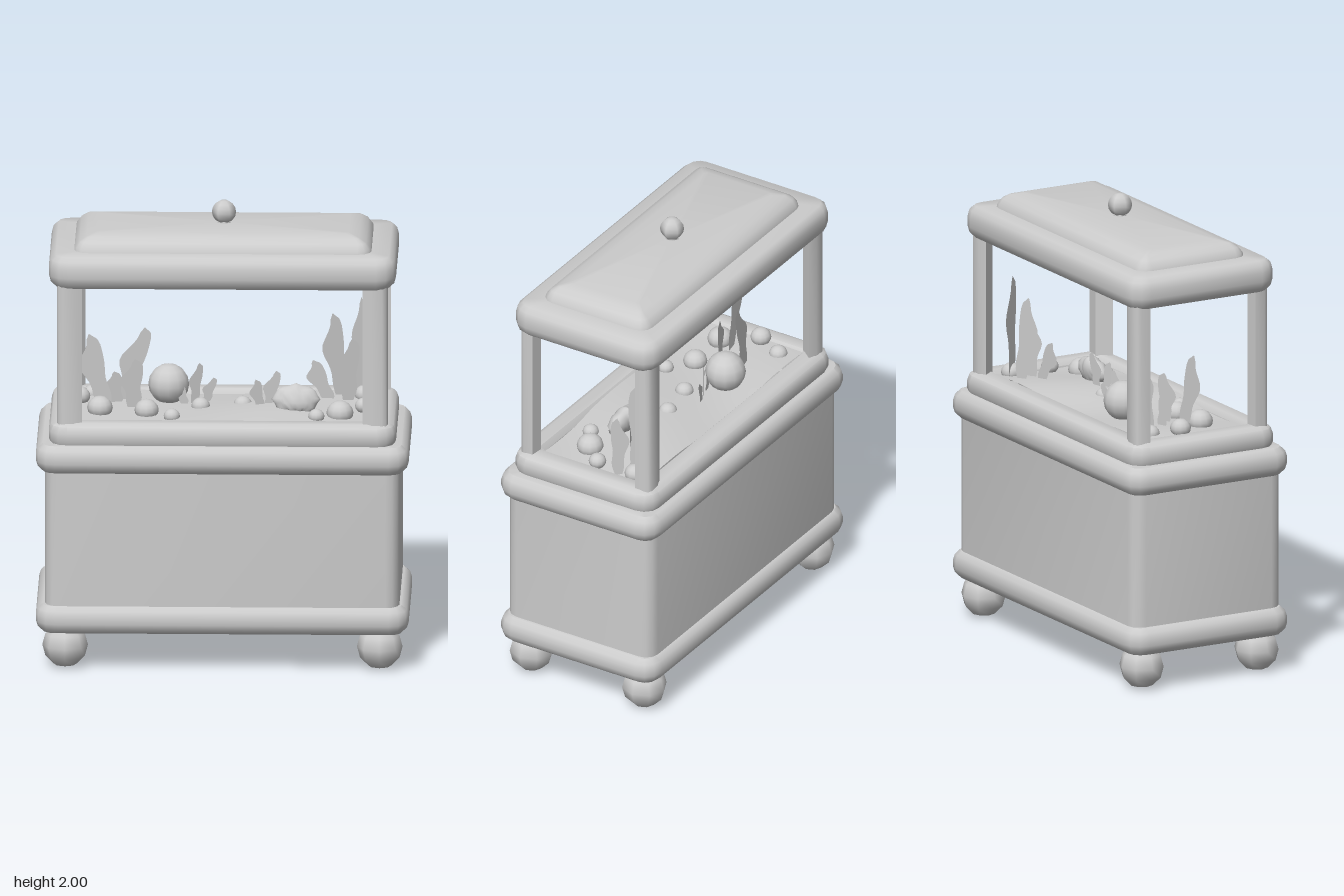
import * as THREE from 'three';
import { toCreasedNormals } from 'three/addons/utils/BufferGeometryUtils.js';

const clay = new THREE.MeshStandardMaterial({ color: 0xcccccc, side: THREE.DoubleSide });
clay.name = 'light grey';

function add(parent, name, geometry, x = 0, y = 0, z = 0) {
  const mesh = new THREE.Mesh(geometry, clay);
  mesh.name = name;
  mesh.position.set(x, y, z);
  parent.add(mesh);
  return mesh;
}

// Sweep a profile of [inset, y] points around a rounded rectangle; inset 9 closes to the centre
function loft(hx, hz, radius, profile) {
  const pos = [], idx = [], n = 16;
  profile.forEach(([inset, y]) => {
    const a = Math.max(hx - inset, 0), b = Math.max(hz - inset, 0);
    const r = Math.min(Math.max(radius - inset, 0.015), a, b);
    for (let c = 0; c < 4; c++) {
      const sx = c === 0 || c === 3 ? 1 : -1, sz = c < 2 ? 1 : -1;
      for (let k = 0; k < 4; k++) {
        const t = (c + k / 3) * Math.PI / 2;
        pos.push(sx * (a - r) + r * Math.cos(t), y, sz * (b - r) + r * Math.sin(t));
      }
    }
  });
  for (let i = 0; i < profile.length - 1; i++) {
    for (let j = 0; j < n; j++) {
      const p = i * n + j, q = i * n + (j + 1) % n;
      idx.push(p, p + n, q);
      if (profile[i + 1][0] < 9) idx.push(q, p + n, q + n);
    }
  }
  const g = new THREE.BufferGeometry();
  g.setAttribute('position', new THREE.Float32BufferAttribute(pos, 3));
  g.setIndex(idx);
  return toCreasedNormals(g, 0.75);
}

// Rounded moulding from y0 to y1
const moulding = (y0, y1) => [
  [0.06, y0], [0.03, y0], [0.008, y0 + 0.02], [0, y0 + 0.045],
  [0, y1 - 0.045], [0.008, y1 - 0.02], [0.03, y1], [0.08, y1],
];

// Wavy flat blade of water weed
function leafGeometry(h, w, lean) {
  const left = [], right = [], n = 14;
  for (let i = 0; i <= n; i++) {
    const t = i / n;
    const half = w / 2 * (0.45 + 0.55 * Math.sin(t * 2.6)) * Math.sqrt(Math.max(0, 1 - t ** 6))
      * (1 + 0.15 * Math.sin(t * 13));
    const mid = lean * t + w * 0.22 * Math.sin(t * 9) * t;
    left.push(new THREE.Vector2(mid - half, h * t));
    right.unshift(new THREE.Vector2(mid + half, h * t));
  }
  right.shift();
  return new THREE.ShapeGeometry(new THREE.Shape([...right.reverse(), ...left.reverse()]));
}

// Scallop shell with a fluted edge, a shallow dome
function shellGeometry() {
  const g = new THREE.SphereGeometry(1, 40, 10);
  const p = g.attributes.position;
  for (let i = 0; i < p.count; i++) {
    const x = p.getX(i), y = p.getY(i);
    const flute = 1 + 0.07 * Math.cos(Math.atan2(x, y + 0.6) * 13);
    p.setXYZ(i, x * 0.1 * flute, y * 0.065 * flute, p.getZ(i) * 0.045 * flute);
  }
  g.computeVertexNormals();
  return g;
}

export function createModel() {
  const model = new THREE.Group();
  model.name = 'aquariumOnCabinet';

  // Ball feet
  for (const x of [-0.675, 0.675])
    for (const z of [-0.285, 0.285])
      add(model, 'foot', new THREE.SphereGeometry(0.098, 8, 6), x, 0.098, z);

  // Hollow cabinet with mouldings
  add(model, 'baseMoulding', loft(0.8, 0.4, 0.085, moulding(0.17, 0.29)));
  add(model, 'cabinet', loft(0.76, 0.37, 0.06, [[0, 0.18], [0, 0.95]]));
  add(model, 'upperMoulding', loft(0.8, 0.4, 0.085, moulding(0.88, 1.0)));

  // Tank floor frame
  add(model, 'tankFrame', loft(0.745, 0.36, 0.08, [
    [0.012, 0.99], [0, 1.015], [0, 1.05], [0.01, 1.078], [0.035, 1.092],
    [0.09, 1.092], [0.11, 1.07], [0.11, 1.04],
  ]));

  // Gently rolling sand bed
  const sand = new THREE.PlaneGeometry(1.28, 0.52, 16, 8).rotateX(-Math.PI / 2);
  const sp = sand.attributes.position;
  for (let i = 0; i < sp.count; i++) {
    const x = sp.getX(i), z = sp.getZ(i);
    sp.setY(i, 1.078 + 0.012 * Math.sin(x * 7 + z * 5) + 0.012 * Math.cos(x * 3) * Math.cos(z * 6));
  }
  sand.computeVertexNormals();
  add(model, 'sand', sand);

  // Corner posts, angled on the inside
  for (const sx of [-1, 1]) {
    for (const sz of [-1, 1]) {
      const pts = [[0.71, 0.26], [0.71, 0.305], [0.702, 0.322], [0.685, 0.33],
        [0.64, 0.33], [0.602, 0.315], [0.65, 0.255]];
      const v = pts.map(([x, z]) => new THREE.Vector2(sx * x, -sz * z));
      const post = new THREE.ExtrudeGeometry(new THREE.Shape(v), { depth: 0.66, bevelEnabled: false });
      post.rotateX(-Math.PI / 2).translate(0, 1.07, 0);
      add(model, 'cornerPost', toCreasedNormals(post, 0.8));
    }
  }

  // Hollow top frame, lid and knob
  add(model, 'topFrame', loft(0.745, 0.36, 0.085, [
    [0.07, 1.8], [0.07, 1.7], [0.03, 1.69], [0.008, 1.71], [0, 1.74],
    [0, 1.78], [0.008, 1.81], [0.03, 1.828], [0.12, 1.832],
  ]));
  add(model, 'lid', loft(0.64, 0.268, 0.06, [
    [0, 1.82], [0.005, 1.845], [0.025, 1.87], [0.055, 1.888], [0.1, 1.9], [9, 1.903],
  ]));
  add(model, 'knobNeck', new THREE.CylinderGeometry(0.028, 0.034, 0.03, 6), 0, 1.91, 0);
  add(model, 'knob', new THREE.SphereGeometry(0.052, 6, 8), 0, 1.948, 0);

  // Pebbles and one larger rock: x, y, z, radius
  for (const [x, y, z, r] of [
    [-0.62, 1.11, -0.06, 0.045], [-0.53, 1.1, 0.09, 0.055], [-0.33, 1.09, 0.09, 0.052],
    [-0.22, 1.085, 0.17, 0.035], [-0.1, 1.085, 0, 0.04], [0.08, 1.085, -0.03, 0.04],
    [0.4, 1.085, 0.16, 0.035], [0.5, 1.085, 0.1, 0.058], [0.6, 1.09, 0, 0.038],
    [0.6, 1.09, -0.19, 0.045], [-0.57, 1.09, -0.18, 0.04],
  ]) add(model, 'pebble', new THREE.SphereGeometry(r, 12, 8), x, y, z).scale.y = 0.9;
  add(model, 'rock', new THREE.SphereGeometry(0.088, 12, 8), -0.24, 1.15, -0.12);

  // Scallop shell
  add(model, 'shell', shellGeometry(), 0.31, 1.13, 0.05).rotation.x = -0.35;

  // Water weeds: x, z, height, width, lean, turn
  for (const [x, z, h, w, lean, turn] of [
    [-0.51, 0.02, 0.34, 0.1, -0.08, 0.15], [-0.43, -0.1, 0.33, 0.1, 0.08, 0.2],
    [-0.39, 0, 0.22, 0.09, 0, 0.3], [-0.46, -0.06, 0.15, 0.07, -0.02, 0.3],
    [-0.13, -0.08, 0.18, 0.055, 0.02, 0.5], [-0.08, -0.1, 0.11, 0.05, 0.03, 0.3],
    [-0.17, -0.07, 0.1, 0.05, -0.03, 0.2],
    [0.16, 0.02, 0.14, 0.055, -0.03, 0.4], [0.19, 0, 0.17, 0.06, 0.03, 0.2],
    [0.5, -0.2, 0.38, 0.09, -0.05, 0.4], [0.58, -0.2, 0.45, 0.095, 0, -0.93],
    [0.45, -0.13, 0.19, 0.08, -0.08, 0.2], [0.53, -0.13, 0.28, 0.09, 0.01, 0.4],
    [0.62, -0.12, 0.28, 0.07, 0, -0.9],
  ]) add(model, 'waterWeed', leafGeometry(h, w, lean), x, 1.07, z).rotation.y = turn;

  return model;
}
